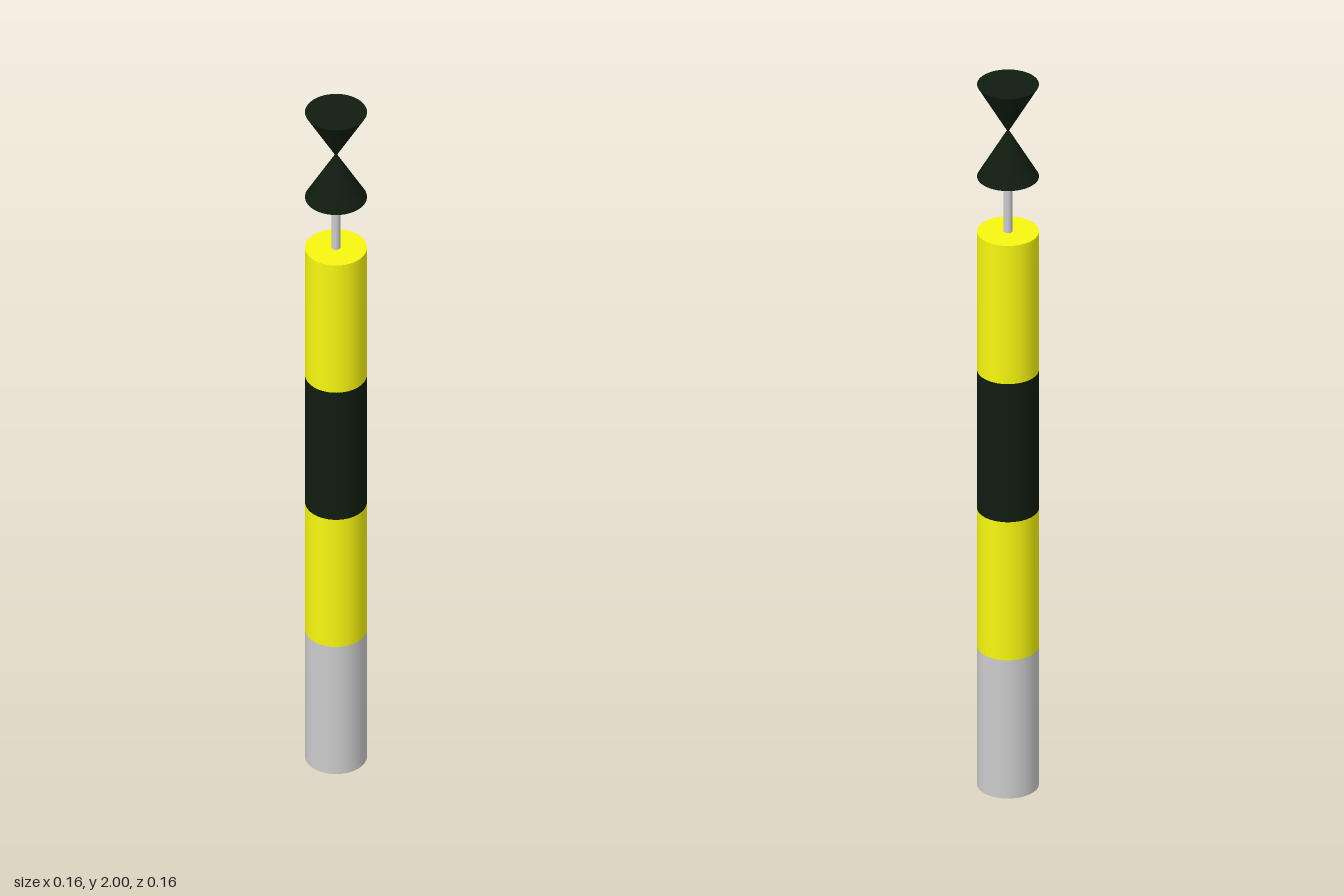
import * as THREE from 'three';

const SIDES = 48;
const RADIUS = 0.078;
const BAND = 0.395;

function paint(color) {
  return new THREE.MeshStandardMaterial({ color });
}

export function createModel() {
  const model = new THREE.Group();
  const grey = paint(0xcccccc);
  const yellow = paint(0xf7f711);
  const black = paint(0x101c10);

  // Upright round piece from y0 to y1
  function addRound(name, material, rBottom, rTop, y0, y1, sides = SIDES, open = false) {
    const geometry = new THREE.CylinderGeometry(rTop, rBottom, y1 - y0, sides, 1, open);
    const mesh = new THREE.Mesh(geometry, material);
    mesh.name = name;
    mesh.position.y = (y0 + y1) / 2;
    model.add(mesh);
  }

  // Pillar of four equal bands
  const bands = [
    ['pillarBase', grey],
    ['lowerYellowBand', yellow],
    ['blackBand', black],
    ['upperYellowBand', yellow],
  ];
  bands.forEach(([name, material], i) => {
    addRound(name, material, RADIUS, RADIUS, i * BAND, (i + 1) * BAND);
  });

  // Thin rod carrying the topmark
  addRound('topmarkRod', grey, 0.011, 0.011, 4 * BAND, 1.76, 24);

  // Topmark: two cones meeting point to point
  addRound('lowerCone', black, RADIUS, 0.002, 1.737, 1.87);
  addRound('upperCone', black, 0.002, RADIUS, 1.867, 2);

  return model;
}
